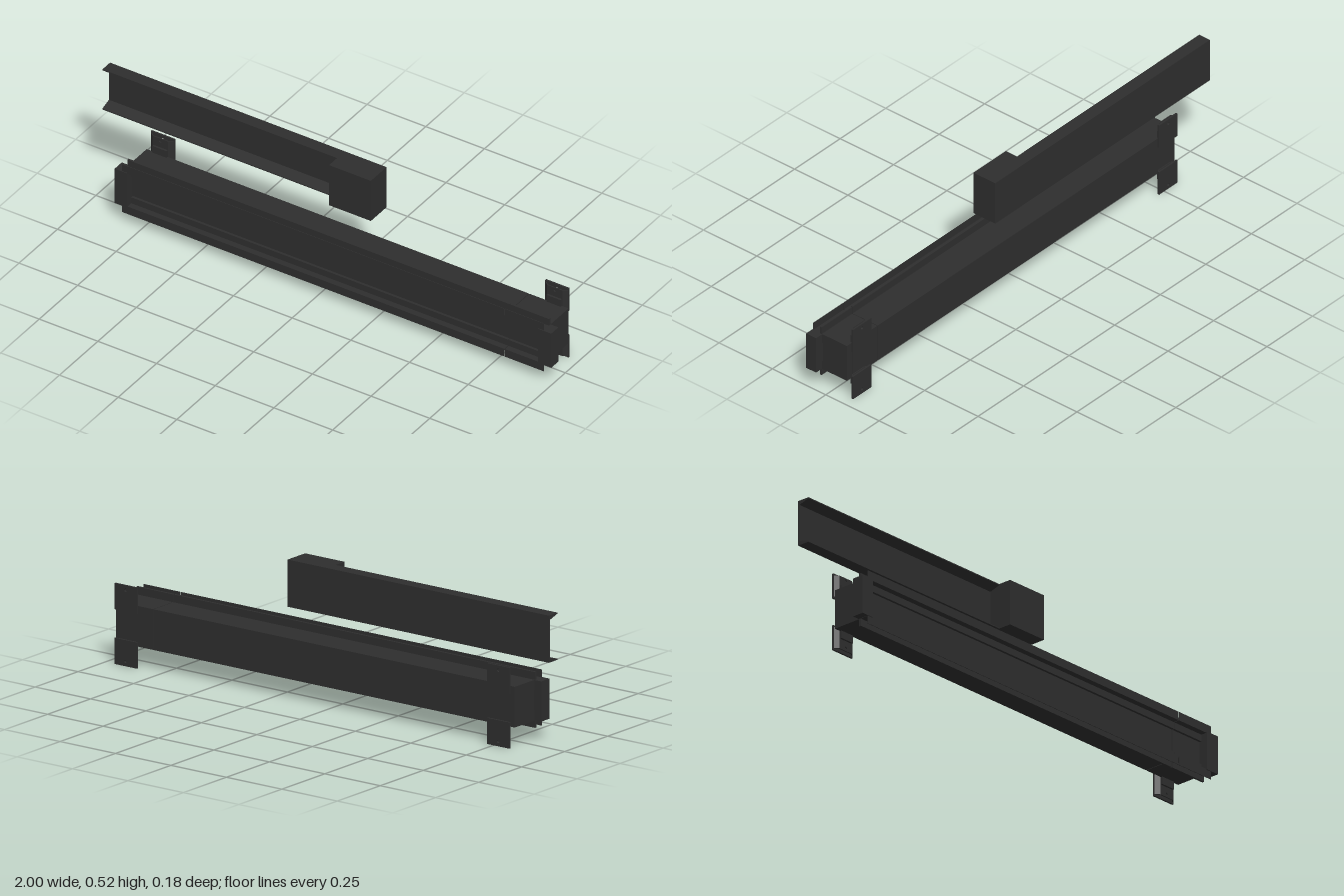
import * as THREE from 'three';

const material = new THREE.MeshStandardMaterial({ color: 0x2e2e2e, side: THREE.DoubleSide });

function add(parent, name, geometry) {
  const mesh = new THREE.Mesh(geometry, material);
  mesh.name = name;
  parent.add(mesh);
  return mesh;
}

// Box given by its low and high limits on each axis
function block(parent, name, [x0, x1], [y0, y1], [z0, z1]) {
  const mesh = add(parent, name, new THREE.BoxGeometry(x1 - x0, y1 - y0, z1 - z0));
  mesh.position.set((x0 + x1) / 2, (y0 + y1) / 2, (z0 + z1) / 2);
  return mesh;
}

// Profile of [z, y] points swept along x
function sweepX(parent, name, points, x0, x1) {
  const shape = new THREE.Shape(points.map(([z, y]) => new THREE.Vector2(-z, y)));
  const geometry = new THREE.ExtrudeGeometry(shape, { depth: x1 - x0, bevelEnabled: false });
  geometry.rotateY(Math.PI / 2).translate(x0, 0, 0);
  return add(parent, name, geometry);
}

// Profile of [x, z] points swept along y
function sweepY(parent, name, points, y0, y1) {
  const shape = new THREE.Shape(points.map(([x, z]) => new THREE.Vector2(x, -z)));
  const geometry = new THREE.ExtrudeGeometry(shape, { depth: y1 - y0, bevelEnabled: false });
  geometry.rotateX(-Math.PI / 2).translate(0, y0, 0);
  return add(parent, name, geometry);
}

// Upright plate with one screw hole
function drilledPlate(parent, name, half, y0, y1, holeY, z0, z1) {
  const shape = new THREE.Shape([
    new THREE.Vector2(-half, y0), new THREE.Vector2(half, y0),
    new THREE.Vector2(half, y1), new THREE.Vector2(-half, y1),
  ]);
  shape.holes.push(new THREE.Path().absarc(0, holeY, 0.006, 0, Math.PI * 2, true));
  const geometry = new THREE.ExtrudeGeometry(shape, { depth: z1 - z0, bevelEnabled: false, curveSegments: 8 });
  geometry.translate(0, 0, z0);
  return add(parent, name, geometry);
}

// Upper channel with tapered flanges, ending in a square block
function upperRail() {
  const rail = new THREE.Group();
  rail.name = 'upperRail';
  sweepX(rail, 'channel', [
    [-0.092, 0.35], [-0.042, 0.35], [-0.042, 0.354], [-0.085, 0.367],
    [-0.085, 0.508], [-0.042, 0.521], [-0.042, 0.525], [-0.092, 0.525],
  ], -1, 0);
  block(rail, 'endBlock', [0, 0.178], [0.35, 0.525], [-0.092, 0.01]);
  return rail;
}

// Housing and front track, cut into two lengths
function lowerRail() {
  const rail = new THREE.Group();
  rail.name = 'lowerRail';
  for (const [x0, x1] of [[-0.83, 0.798], [0.801, 0.967]]) {
    const x = [x0, x1];
    block(rail, 'housing', x, [0.075, 0.226], [-0.071, 0.04]);
    block(rail, 'trackPlate', x, [0.047, 0.254], [0.047, 0.055]);
    for (const s of [-1, 1]) {
      const span = (a, b) => [0.15 + s * a, 0.15 + s * b].sort((p, q) => p - q);
      block(rail, 'spacer', x, span(0.038, 0.075), [0.04, 0.047]);
      block(rail, 'trackWall', x, span(0.071, 0.075), [0.055, 0.088]);
      block(rail, 'trackLip', x, span(0.071, 0.104), [0.087, 0.089]);
      block(rail, 'trackRib', x, span(0.045, 0.071), [0.055, 0.065]);
    }
  }
  block(rail, 'rightEndCap', [-0.86, -0.807], [0.076, 0.225], [0.045, 0.092]);
  block(rail, 'leftEndCap', [0.943, 1], [0.076, 0.225], [0.045, 0.092]);
  return rail;
}

// Wall bracket: a cross strap with a hollow tapered foot above and below
function wallBracket(x) {
  const bracket = new THREE.Group();
  bracket.name = 'wallBracket';
  bracket.position.x = x;
  block(bracket, 'strap', [-0.03, 0.03], [0.046, 0.255], [-0.072, -0.064]);
  for (const [y0, y1, holeY] of [[0, 0.097, 0.018], [0.203, 0.3, 0.282]]) {
    drilledPlate(bracket, 'wallPlate', 0.05, y0, y1, holeY, -0.092, -0.085);
    drilledPlate(bracket, 'frontPlate', 0.033, y0 + 0.007, y1 - 0.007, holeY, -0.076, -0.072);
    for (const s of [-1, 1]) {
      sweepY(bracket, 'slopedSide', [
        [s * 0.033, -0.072], [s * 0.048, -0.085], [s * 0.043, -0.085], [s * 0.028, -0.072],
      ], y0 + 0.007, y1 - 0.007);
    }
  }
  return bracket;
}

export function createModel() {
  const model = new THREE.Group();
  model.name = 'railAssembly';
  model.add(upperRail(), lowerRail(), wallBracket(-0.772), wallBracket(0.908));
  return model;
}
